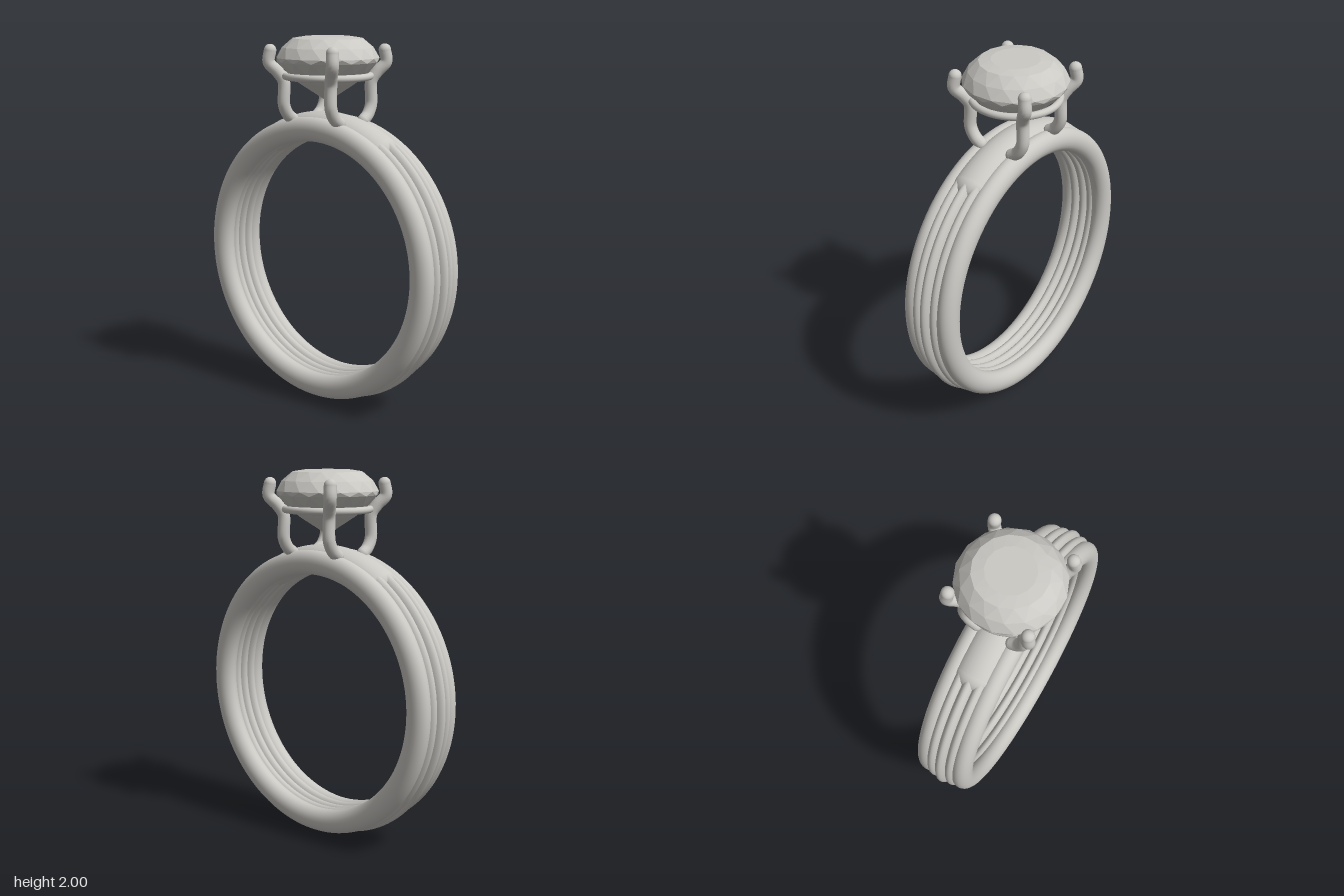
import * as THREE from 'three';

const CENTRE_Y = 0.8;

// Flat-faceted stone from staggered rings given as [radius, height]
function facetedStone(rings, sides, culetY) {
  const pos = [];
  const point = (k, j) => {
    const a = ((j + (k % 2) * 0.5) / sides) * Math.PI * 2;
    return [rings[k][0] * Math.cos(a), rings[k][1], rings[k][0] * Math.sin(a)];
  };
  const tri = (a, b, c) => pos.push(...a, ...b, ...c);
  const last = rings.length - 1;
  for (let j = 0; j < sides; j++) {
    tri([0, rings[0][1], 0], point(0, j + 1), point(0, j));
    for (let k = 0; k < last; k++) {
      const s = k % 2; // which ring leads the stagger
      tri(point(k, j), point(k, j + 1), point(k + 1, j + s));
      if (s) tri(point(k, j), point(k + 1, j + 1), point(k + 1, j));
      else tri(point(k, j + 1), point(k + 1, j + 1), point(k + 1, j));
    }
    tri(point(last, j), point(last, j + 1), [0, culetY, 0]);
  }
  const g = new THREE.BufferGeometry();
  g.setAttribute('position', new THREE.Float32BufferAttribute(pos, 3));
  g.computeVertexNormals();
  return g;
}

export function createModel() {
  const model = new THREE.Group();
  const metal = new THREE.MeshStandardMaterial({ color: 0xcbc9c4 });
  metal.name = 'metal';

  const add = (name, geometry, parent = model) => {
    const mesh = new THREE.Mesh(geometry, metal);
    mesh.name = name;
    parent.add(mesh);
    return mesh;
  };

  // Band: five ribs side by side, [z, ring radius, radial half, z half]
  const band = new THREE.Group();
  band.name = 'band';
  band.position.y = CENTRE_Y;
  model.add(band);
  const ribs = [
    [-0.105, 0.715, 0.065, 0.055],
    [-0.055, 0.72, 0.068, 0.036],
    [0, 0.727, 0.073, 0.036],
    [0.055, 0.72, 0.068, 0.036],
    [0.105, 0.715, 0.065, 0.055],
  ];
  for (const [z, radius, tube, halfZ] of ribs) {
    const rib = add('bandRib', new THREE.TorusGeometry(radius, tube, 24, 128), band);
    rib.scale.z = halfZ / tube;
    rib.position.z = z;
  }

  // Smooth bridge over the ribs at the top, with rounded ends
  const halfArc = THREE.MathUtils.degToRad(30);
  const R = 0.727, tube = 0.076, halfZ = 0.105;
  const bridge = add('bridge', new THREE.TorusGeometry(R, tube, 24, 48, halfArc * 2), band);
  bridge.rotation.z = Math.PI / 2 - halfArc;
  bridge.scale.z = halfZ / tube;
  for (const side of [-1, 1]) {
    const end = add('bridgeEnd', new THREE.SphereGeometry(1, 32, 24), band);
    const a = side * halfArc;
    end.position.set(R * Math.sin(a), R * Math.cos(a), 0);
    end.rotation.z = -a;
    end.scale.set(0.08, tube, halfZ);
  }

  // Stone: crown, girdle and pavilion
  add('stone', facetedStone([
    [0.125, 2.0], [0.188, 1.99], [0.243, 1.943], [0.275, 1.89],
    [0.27, 1.868], [0.222, 1.815], [0.15, 1.752],
  ], 16, 1.655));

  // Gallery ring under the stone
  const gallery = add('galleryRing', new THREE.TorusGeometry(0.227, 0.019, 16, 96));
  gallery.rotation.x = Math.PI / 2;
  gallery.position.y = 1.793;

  // Four claws, bent in at the foot and out around the stone
  for (const sx of [-1, 1]) {
    for (const sz of [-1, 1]) {
      const points = [
        [0.165, 1.56, 0.1], [0.165, 1.585, 0.135], [0.165, 1.64, 0.165],
        [0.165, 1.765, 0.166], [0.188, 1.815, 0.188],
        [0.221, 1.865, 0.22], [0.216, 1.928, 0.214],
      ].map(([x, y, z]) => new THREE.Vector3(x * sx, y, z * sz));
      const claw = new THREE.Group();
      claw.name = 'claw';
      model.add(claw);
      add('clawWire', new THREE.TubeGeometry(new THREE.CatmullRomCurve3(points), 40, 0.033, 16), claw);
      for (const p of [points[0], points[points.length - 1]]) {
        add('clawTip', new THREE.SphereGeometry(0.033, 20, 16), claw).position.copy(p);
      }
    }
  }
  return model;
}
